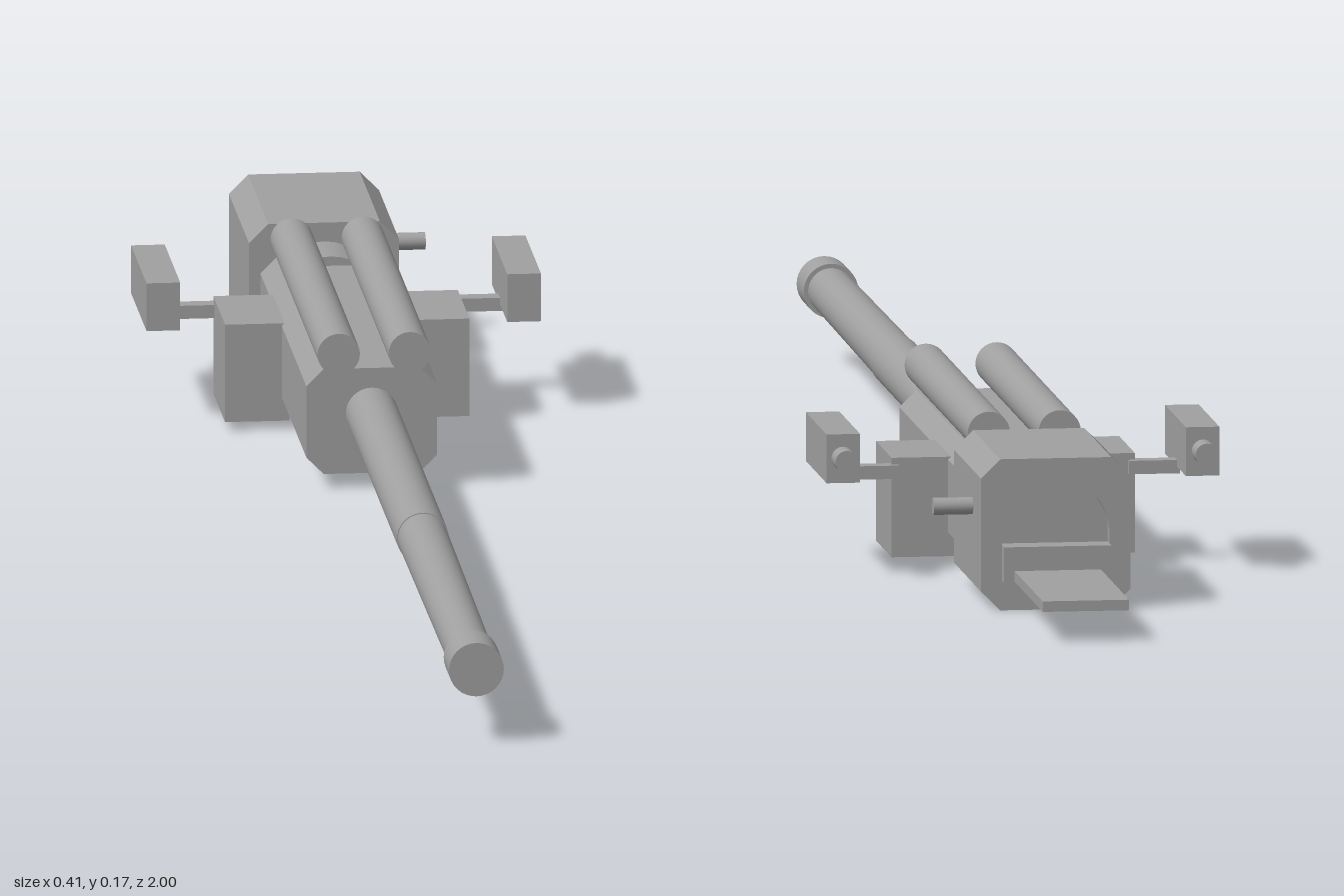
import * as THREE from 'three';

export function createModel() {
  const group = new THREE.Group();
  group.name = 'fieldGun';
  const steel = new THREE.MeshStandardMaterial({ color: 0xa0a0a0 });
  steel.name = 'grey steel';

  const add = (name, geometry) => {
    const mesh = new THREE.Mesh(geometry, steel);
    mesh.name = name;
    group.add(mesh);
    return mesh;
  };
  // Box given by its limits on each axis
  const box = (name, x0, x1, y0, y1, z0, z1) =>
    add(name, new THREE.BoxGeometry(x1 - x0, y1 - y0, z1 - z0))
      .position.set((x0 + x1) / 2, (y0 + y1) / 2, (z0 + z1) / 2);
  // Round bar along z, from the rear z0 to the front z1
  const bar = (name, x, y, z0, z1, rearR, frontR = rearR, sides = 32) =>
    add(name, new THREE.CylinderGeometry(frontR, rearR, z1 - z0, sides).rotateX(Math.PI / 2))
      .position.set(x, y, (z0 + z1) / 2);
  // Octagonal outline with 45 degree corners
  const octagon = (w, y0, y1, c) => new THREE.Shape([
    [-w + c, y0], [w - c, y0], [w, y0 + c], [w, y1 - c],
    [w - c, y1], [-w + c, y1], [-w, y1 - c], [-w, y0 + c],
  ].map(([x, y]) => new THREE.Vector2(x, y)));
  const prism = (name, shape, z0, z1) =>
    add(name, new THREE.ExtrudeGeometry(shape, { depth: z1 - z0, bevelEnabled: false, curveSegments: 24 }))
      .position.set(0, 0, z0);

  // Barrel with muzzle ring
  bar('rearBarrel', 0, 0.08, -0.08, 0.45, 0.027);
  bar('frontBarrel', 0, 0.08, 0.45, 0.95, 0.026, 0.024);
  bar('muzzle', 0, 0.08, 0.945, 1, 0.0285);

  // Cradle and the round collar joining it to the breech
  prism('cradle', octagon(0.068, 0.016, 0.128, 0.018), -0.545, -0.073);
  bar('breechCollar', 0, 0.08, -0.57, -0.5, 0.058);

  // Breech housing with a shallow arched opening at the back
  prism('breechHousing', octagon(0.078, 0, 0.158, 0.02), -0.757, -0.563);
  const rim = octagon(0.078, 0, 0.158, 0.02);
  const arch = new THREE.Path();
  arch.moveTo(-0.056, 0.035);
  arch.lineTo(0.056, 0.035);
  arch.lineTo(0.056, 0.08);
  arch.absarc(0, 0.08, 0.056, 0, Math.PI, false);
  arch.lineTo(-0.056, 0.035);
  rim.holes.push(arch);
  prism('breechRim', rim, -0.77, -0.757);

  // Loading lip and tray
  box('loadingLip', -0.056, 0.056, 0.031, 0.068, -0.785, -0.757);
  box('loadingTray', -0.045, 0.045, 0.032, 0.043, -1, -0.78);

  // Breech handle on the left side
  add('breechHandle', new THREE.CylinderGeometry(0.009, 0.009, 0.05, 20).rotateZ(Math.PI / 2))
    .position.set(0.094, 0.1, -0.702);

  // Mirrored recoil cylinders, side boxes and sights
  for (const s of [-1, 1]) {
    const side = s > 0 ? 'left' : 'right';
    const sideBox = (name, a, b, ...rest) =>
      box(side + name, Math.min(s * a, s * b), Math.max(s * a, s * b), ...rest);
    bar(side + 'RecoilCylinder', s * 0.037, 0.15, -0.53, -0.047, 0.022);
    sideBox('TrunnionBox', 0.06, 0.127, 0.009, 0.113, -0.445, -0.325);
    sideBox('SightArm', 0.12, 0.173, 0.092, 0.106, -0.453, -0.435);
    sideBox('SightBox', 0.17, 0.205, 0.099, 0.15, -0.52, -0.361);
    bar(side + 'Eyepiece', s * 0.188, 0.125, -0.55, -0.515, 0.012, 0.012, 20);
  }
  return group;
}
